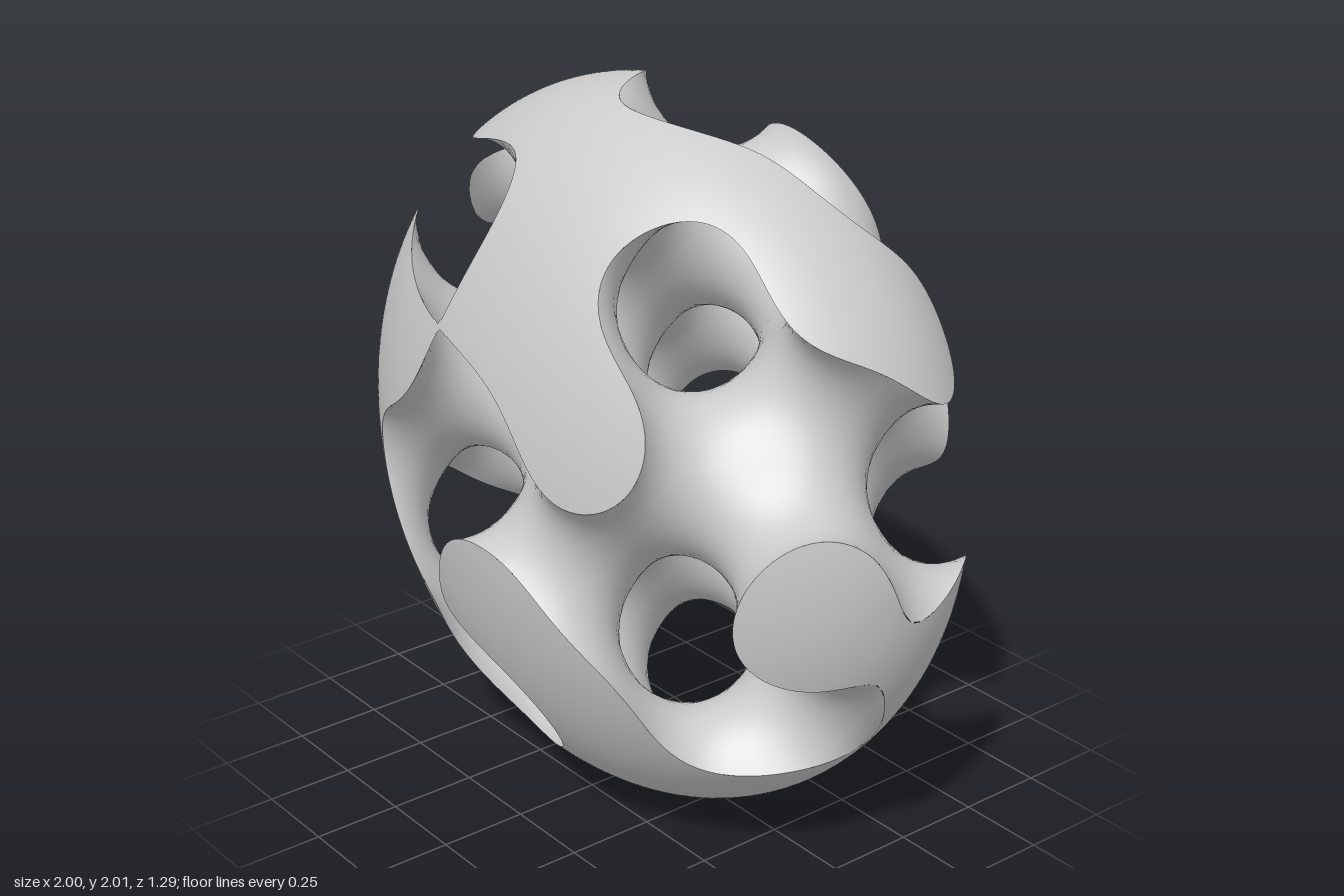
import * as THREE from 'three';

// Gyroid lattice (solid where lattice < 0) cut to an ellipsoid (inside where shell < 0)
const K = (2 * Math.PI) / 0.896;
const LEVEL = -0.08;
const RADII = new THREE.Vector3(1.004, 1.006, 0.645);
const CENTRE = new THREE.Vector3(0.005, 1.006, 0.006);
const { sin, cos } = Math;

const lattice = {
  value: (p) => {
    const x = K * p.x, y = K * p.y, z = K * p.z;
    return sin(y) * cos(x) - sin(z) * cos(y) + sin(x) * cos(z) - LEVEL;
  },
  gradient: (p) => {
    const x = K * p.x, y = K * p.y, z = K * p.z;
    return new THREE.Vector3(
      cos(x) * cos(z) - sin(y) * sin(x),
      cos(y) * cos(x) + sin(z) * sin(y),
      -cos(z) * cos(y) - sin(x) * sin(z)
    ).multiplyScalar(K);
  },
};

const shell = {
  value: (p) => p.clone().divide(RADII).lengthSq() - 1,
  gradient: (p) => p.clone().divide(RADII).divide(RADII).multiplyScalar(2),
};

// Newton steps that pull a point onto a surface
function snap(p, field, steps = 3) {
  for (let i = 0; i < steps; i++) {
    const g = field.gradient(p);
    p.addScaledVector(g, -field.value(p) / Math.max(g.lengthSq(), 1e-6));
  }
  return p;
}

// Point where a field crosses zero between a and b
function crossing(a, b, va, vb) {
  return a.clone().lerp(b, va / (va - vb));
}

// Keep the part of each triangle where the cutting field is negative
function clip(triangles, field, cutter) {
  const kept = [];
  for (const tri of triangles) {
    const v = tri.map(cutter.value);
    const poly = [];
    for (let i = 0; i < 3; i++) {
      const j = (i + 1) % 3;
      if (v[i] < 0) poly.push(tri[i]);
      if (v[i] < 0 !== v[j] < 0) {
        const p = crossing(tri[i], tri[j], v[i], v[j]);
        for (let n = 0; n < 3; n++) snap(snap(p, cutter, 1), field, 1);
        // Near-tangent cuts stay on the straight edge
        const straight = crossing(tri[i], tri[j], v[i], v[j]);
        poly.push(p.distanceTo(straight) < 0.02 ? p : straight);
      }
    }
    for (let i = 2; i < poly.length; i++) kept.push([poly[0], poly[i - 1], poly[i]]);
  }
  return kept;
}

// Lattice surface by marching through six tetrahedra per grid cell
function latticeTriangles(h) {
  const paths = [[1, 2, 4], [1, 4, 2], [2, 1, 4], [2, 4, 1], [4, 1, 2], [4, 2, 1]];
  const n = RADII.toArray().map((r) => Math.ceil(r / h) + 1);
  const triangles = [];
  const addTriangle = (a, b, c) => {
    const normal = b.clone().sub(a).cross(c.clone().sub(a));
    const middle = a.clone().add(b).add(c).divideScalar(3);
    const outward = normal.dot(lattice.gradient(middle)) > 0;
    triangles.push((outward ? [a, b, c] : [a, c, b]).map((p) => snap(p.clone(), lattice)));
  };
  for (let i = -n[0]; i < n[0]; i++)
    for (let j = -n[1]; j < n[1]; j++)
      for (let k = -n[2]; k < n[2]; k++) {
        const corners = [];
        for (let c = 0; c < 8; c++)
          corners.push(new THREE.Vector3(i + (c & 1), j + ((c >> 1) & 1), k + (c >> 2)).multiplyScalar(h));
        if (corners.every((p) => shell.value(p) > 0.15)) continue;
        const values = corners.map(lattice.value);
        if (values.every((v) => v < 0) || values.every((v) => v >= 0)) continue;
        for (const [a, b] of paths) {
          const tet = [0, a, a + b, 7];
          const ins = tet.filter((c) => values[c] < 0);
          const outs = tet.filter((c) => values[c] >= 0);
          if (!ins.length || !outs.length) continue;
          const cut = (p, q) => crossing(corners[p], corners[q], values[p], values[q]);
          if (ins.length === 2) {
            const q = [cut(ins[0], outs[0]), cut(ins[0], outs[1]), cut(ins[1], outs[1]), cut(ins[1], outs[0])];
            addTriangle(q[0], q[1], q[2]);
            addTriangle(q[0], q[2], q[3]);
          } else {
            const pts = ins.flatMap((p) => outs.map((q) => cut(p, q)));
            addTriangle(pts[0], pts[1], pts[2]);
          }
        }
      }
  return triangles;
}

// Ellipsoid surface as loose triangles
function shellTriangles() {
  const pos = new THREE.IcosahedronGeometry(1, 44).getAttribute('position');
  const triangles = [];
  for (let i = 0; i < pos.count; i += 3)
    triangles.push([0, 1, 2].map((c) => new THREE.Vector3().fromBufferAttribute(pos, i + c).multiply(RADII)));
  return triangles;
}

// Mesh with smooth normals taken from the field itself
function buildMesh(name, triangles, field, material) {
  const positions = [], normals = [];
  for (const p of triangles.flat()) {
    positions.push(p.x, p.y, p.z);
    normals.push(...field.gradient(p).normalize().toArray());
  }
  const geometry = new THREE.BufferGeometry();
  geometry.setAttribute('position', new THREE.Float32BufferAttribute(positions, 3));
  geometry.setAttribute('normal', new THREE.Float32BufferAttribute(normals, 3));
  const mesh = new THREE.Mesh(geometry, material);
  mesh.name = name;
  mesh.position.copy(CENTRE);
  return mesh;
}

export function createModel() {
  const group = new THREE.Group();
  group.name = 'gyroidEllipsoid';
  const material = new THREE.MeshStandardMaterial({ color: 0xcccccc });
  // Curved tunnel walls inside the ellipsoid
  group.add(buildMesh('tunnelWalls', clip(latticeTriangles(0.04), lattice, shell), lattice, material));
  // Outer caps where the ellipsoid slices the lattice
  group.add(buildMesh('outerCaps', clip(shellTriangles(), shell, lattice), shell, material));
  return group;
}
